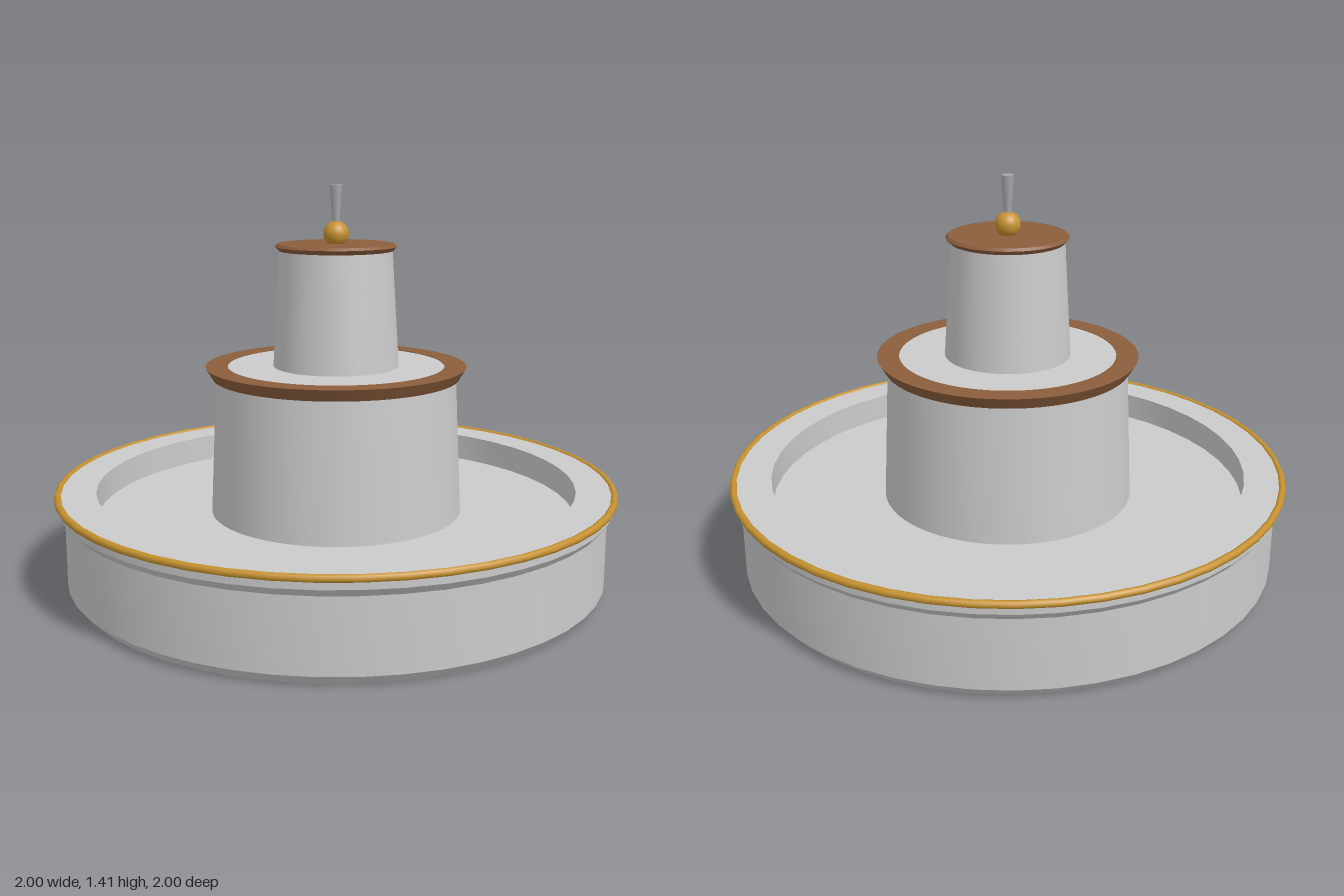
import * as THREE from 'three';
import { toCreasedNormals } from 'three/addons/utils/BufferGeometryUtils.js';

export function createModel() {
  const model = new THREE.Group();
  model.name = 'fountain';

  const material = (name, color) => {
    const m = new THREE.MeshStandardMaterial({ color });
    m.name = name;
    return m;
  };
  const stone = material('pale stone', 0xcbcbcb);
  const bronze = material('brown bronze', 0x8b5e3c);
  const gold = material('gold', 0xc6922f);
  const steel = material('nozzle grey', 0xa8a8a8);

  const add = (name, geometry, mat, y = 0) => {
    const mesh = new THREE.Mesh(geometry, mat);
    mesh.name = name;
    mesh.position.y = y;
    model.add(mesh);
    return mesh;
  };
  // Turned part: smooth around the axis, crisp along the profile
  const turned = (name, profile, mat, sides = 64) => {
    const points = profile.map(([r, y]) => new THREE.Vector2(r, y));
    return add(name, toCreasedNormals(new THREE.LatheGeometry(points, sides), 0.4), mat);
  };

  // Wide basin with chamfered foot, flared lip and sunken floor
  turned('basin', [
    [0, 0], [0.935, 0], [0.965, 0.035], [0.965, 0.282], [0.985, 0.308],
    [0.985, 0.35], [0.855, 0.35], [0.855, 0.25], [0, 0.25],
  ], stone, 48);
  const rim = add('basinRim', new THREE.TorusGeometry(0.987, 0.013, 8, 48), gold, 0.344);
  rim.rotation.x = Math.PI / 2;

  // Middle tier and its flared trim
  turned('middleTier', [[0.45, 0.25], [0.427, 0.735], [0.385, 0.775], [0, 0.775]], stone);
  turned('middleTrim', [
    [0.385, 0.735], [0.438, 0.735], [0.463, 0.777], [0.385, 0.777], [0.385, 0.735],
  ], bronze);

  // Upper tier and its cap
  turned('upperTier', [[0.223, 0.775], [0.198, 1.185]], stone);
  turned('upperCap', [
    [0, 1.182], [0.2, 1.182], [0.214, 1.197], [0.205, 1.206], [0, 1.206],
  ], bronze);

  // Finial ball and water nozzle
  add('finialBall', new THREE.SphereGeometry(0.045, 24, 16), gold, 1.24);
  add('nozzle', new THREE.CylinderGeometry(0.023, 0.012, 0.15, 8), steel, 1.335);

  return model;
}
